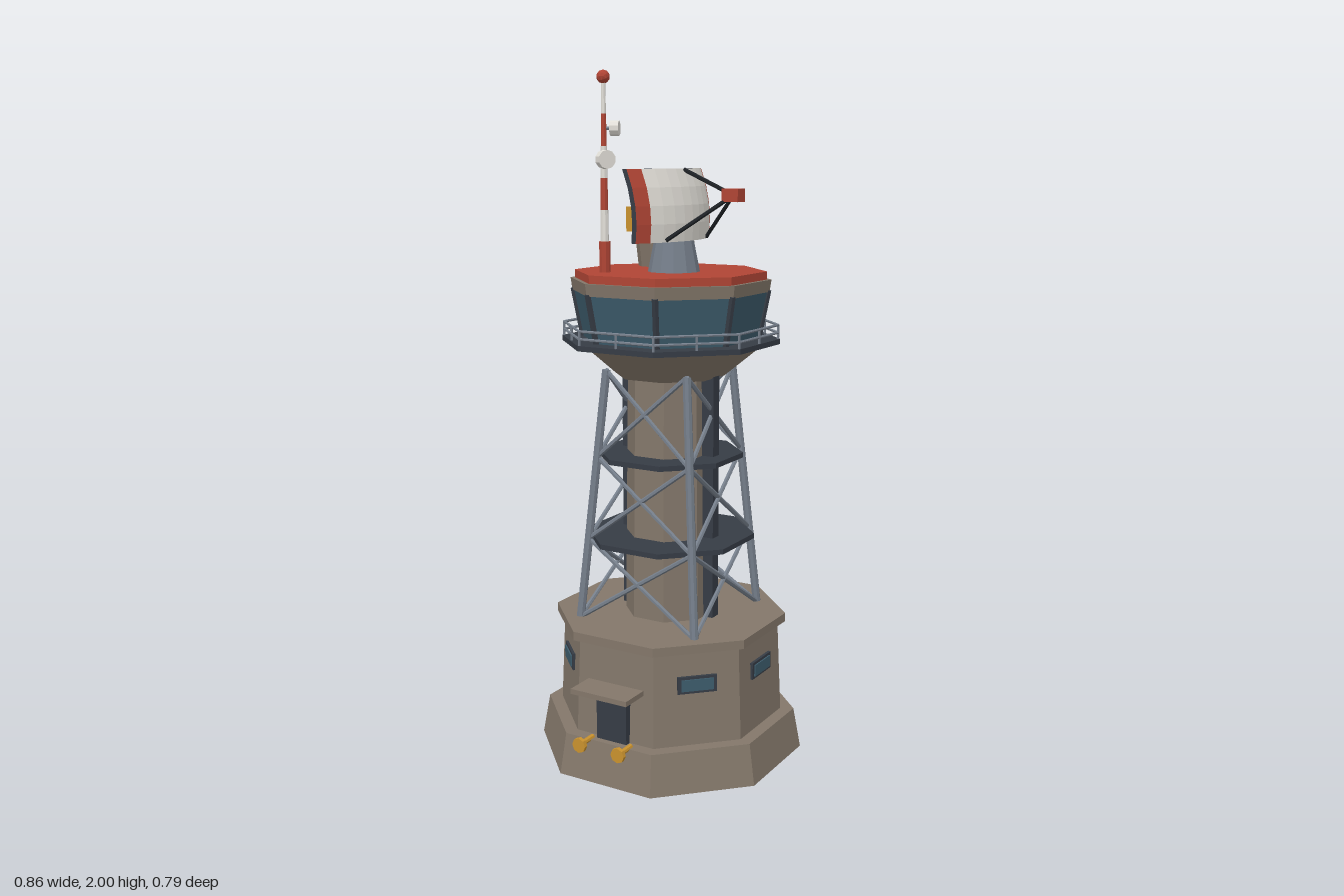
import * as THREE from 'three';

const mat = (name, color, side = THREE.FrontSide) => {
  const m = new THREE.MeshStandardMaterial({ color, side });
  m.name = name;
  return m;
};

export function createModel() {
  const concrete = mat('concrete', 0x83776a), red = mat('signal red', 0xb04535);
  const glass = mat('window glass', 0x3d5c6c), steel = mat('steel', 0x757e8a);
  const dark = mat('dark metal', 0x363c45), black = mat('strut black', 0x1e2226);
  const white = mat('white', 0xe2dfd8), yellow = mat('yellow', 0xc9922e);

  const root = new THREE.Group();
  root.name = 'radarTower';
  const tower = new THREE.Group();
  tower.name = 'tower';
  tower.rotation.y = Math.PI / 12;
  tower.position.x = -0.02;
  root.add(tower);

  // Flat-shaded mesh helpers
  const add = (name, geo, m, x = 0, y = 0, z = 0, parent = tower) => {
    const g = geo.index ? geo.toNonIndexed() : geo;
    g.computeVertexNormals();
    const mesh = new THREE.Mesh(g, m);
    mesh.name = name;
    mesh.position.set(x, y, z);
    parent.add(mesh);
    return mesh;
  };
  const box = (name, m, w, h, d, x, y, z, parent) =>
    add(name, new THREE.BoxGeometry(w, h, d), m, x, y, z, parent);
  // Octagonal frustum between two heights, flats facing the axes
  const tier = (name, m, r0, r1, y0, y1) =>
    add(name, new THREE.CylinderGeometry(r1, r0, y1 - y0, 8).rotateY(Math.PI / 8), m, 0, (y0 + y1) / 2, 0);
  const drum = (name, m, r0, r1, y0, y1, x, z, n = 12) =>
    add(name, new THREE.CylinderGeometry(r1, r0, y1 - y0, n), m, x, (y0 + y1) / 2, z);
  // Round bar between two points
  const bar = (name, m, a, b, r, n = 6) => {
    const d = b.clone().sub(a), mid = a.clone().add(b).multiplyScalar(0.5);
    const mesh = add(name, new THREE.CylinderGeometry(r, r, d.length(), n), m, mid.x, mid.y, mid.z);
    mesh.quaternion.setFromUnitVectors(new THREE.Vector3(0, 1, 0), d.normalize());
    return mesh;
  };
  const polar = (angle, r, y) => new THREE.Vector3(Math.sin(angle) * r, y, Math.cos(angle) * r);

  // Base building
  tier('foundation', concrete, 0.4, 0.378, 0, 0.12);
  tier('baseBuilding', concrete, 0.338, 0.325, 0.12, 0.4);
  tier('baseRoofSlab', concrete, 0.348, 0.348, 0.397, 0.423);
  for (let i = 0; i < 8; i++) {
    if (i % 4 === 2) continue;
    const win = new THREE.Group();
    win.name = 'baseWindow';
    win.rotation.y = i * Math.PI / 4;
    tower.add(win);
    box('windowFrame', dark, 0.115, 0.05, 0.02, 0, 0.3, 0.302, win);
    box('windowPane', glass, 0.095, 0.034, 0.006, 0, 0.3, 0.313, win);
  }

  // Annex with cooling units
  box('annex', concrete, 0.14, 0.195, 0.26, 0.345, 0.1975, 0);
  box('annexRoof', concrete, 0.145, 0.014, 0.284, 0.353, 0.3, 0);
  for (const s of [-1, 1]) box('coolingUnit', steel, 0.05, 0.05, 0.095, 0.31, 0.325, s * 0.055);

  // Entrance with canopy and yellow bollard fittings
  box('door', dark, 0.04, 0.15, 0.1, -0.31, 0.195, 0);
  box('canopy', concrete, 0.1, 0.015, 0.186, -0.347, 0.277, 0);
  for (const s of [-1, 1]) {
    const z = s * 0.065;
    bar('fittingPipe', yellow, new THREE.Vector3(-0.33, 0.12, z), new THREE.Vector3(-0.4, 0.12, z), 0.008, 8);
    bar('fittingWheel', yellow, new THREE.Vector3(-0.39, 0.12, z), new THREE.Vector3(-0.402, 0.12, z), 0.022, 8);
  }

  // Central shaft and service ducts
  tier('shaft', concrete, 0.135, 0.125, 0.42, 1.16);
  for (const s of [-1, 1]) box('serviceDuct', dark, 0.034, 0.73, 0.05, 0, 0.785, s * 0.13);

  // Lattice: four legs, crossed braces and two platforms
  const levels = [0.42, 0.66, 0.905, 1.16];
  const legR = y => 0.275 - 0.085 * (y - 0.42) / 0.74;
  for (let i = 0; i < 4; i++) {
    const a = Math.PI / 4 + i * Math.PI / 2, b = a + Math.PI / 2;
    bar('latticeLeg', steel, polar(a, legR(0.42), 0.42), polar(a, legR(1.16), 1.16), 0.0125, 8);
    for (let k = 0; k < 3; k++) {
      const [y0, y1] = [levels[k], levels[k + 1]];
      bar('crossBrace', steel, polar(a, legR(y0), y0), polar(b, legR(y1), y1), 0.007);
      bar('crossBrace', steel, polar(b, legR(y0), y0), polar(a, legR(y1), y1), 0.007);
    }
  }
  tier('lowerPlatform', dark, 0.252, 0.252, 0.652, 0.667);
  tier('upperPlatform', dark, 0.217, 0.217, 0.897, 0.912);

  // Control cabin
  tier('cabinFunnel', concrete, 0.16, 0.278, 1.14, 1.237);
  tier('walkway', dark, 0.32, 0.32, 1.235, 1.25);
  tier('cabinGlass', glass, 0.258, 0.286, 1.25, 1.395);
  tier('cabinTrim', concrete, 0.288, 0.293, 1.385, 1.42);
  tier('cabinRoof', red, 0.28, 0.28, 1.42, 1.443);
  for (let i = 0; i < 8; i++) {
    const a = Math.PI / 8 + i * Math.PI / 4, b = a + Math.PI / 4;
    bar('mullion', dark, polar(a, 0.257, 1.25), polar(a, 0.284, 1.39), 0.01);
    for (const y of [1.268, 1.29]) bar('handrail', steel, polar(a, 0.314, y), polar(b, 0.314, y), 0.004);
    const p = polar(a, 0.314, 1.25), q = polar(b, 0.314, 1.25);
    for (const t of [0, 0.5]) {
      const foot = p.clone().lerp(q, t);
      bar('railPost', steel, foot, foot.clone().setY(1.29), 0.004);
    }
  }

  // Radar pedestal and drive
  const cx = -0.02;
  drum('radarPedestal', steel, 0.075, 0.055, 1.44, 1.54, cx, 0.025);
  box('driveHousing', dark, 0.11, 0.09, 0.1, cx, 1.585, 0.01);
  box('counterweight', yellow, 0.115, 0.07, 0.062, cx, 1.59, -0.068);
  for (const s of [-1, 1]) {
    bar('reflectorArm', steel, new THREE.Vector3(cx + s * 0.066, 1.6, -0.025),
      new THREE.Vector3(cx + s * 0.075, 1.63, 0.05), 0.011);
  }

  // Curved reflector: u across, v up, both from -1 to 1
  const dish = (u, v, off = 0) => new THREE.Vector3(
    cx + 0.205 * u, 1.632 + 0.1 * v, 0.085 - 0.06 * u * u - 0.014 * v * v - 0.014 * v - off);
  const panel = (name, m, u0, u1, nu) => {
    // closed slab: front, back and four rims
    const pos = [], nv = 4, t = 0.014;
    const quad = (a, b, c, d) => [a, b, c, a, c, d].forEach(p => pos.push(p.x, p.y, p.z));
    for (let i = 0; i < nu; i++) {
      const a = u0 + (u1 - u0) * i / nu, b = u0 + (u1 - u0) * (i + 1) / nu;
      for (let j = 0; j < nv; j++) {
        const c = -1 + 2 * j / nv, d = c + 2 / nv;
        if (m !== dark) quad(dish(a, c), dish(b, c), dish(b, d), dish(a, d));
        else quad(dish(b, c, t), dish(a, c, t), dish(a, d, t), dish(b, d, t));
        if (m === dark && i === 0) quad(dish(a, c, t), dish(a, c), dish(a, d), dish(a, d, t));
        if (m === dark && i === nu - 1) quad(dish(b, c), dish(b, c, t), dish(b, d, t), dish(b, d));
      }
      if (m === dark) {
        quad(dish(a, 1), dish(b, 1), dish(b, 1, t), dish(a, 1, t));
        quad(dish(a, -1, t), dish(b, -1, t), dish(b, -1), dish(a, -1));
      }
    }
    const g = new THREE.BufferGeometry();
    g.setAttribute('position', new THREE.Float32BufferAttribute(pos, 3));
    add(name, g, m);
  };
  panel('reflectorFace', white, -0.8, 0.8, 8);
  panel('reflectorLeftEnd', red, 0.8, 1, 1);
  panel('reflectorRightEnd', red, -1, -0.8, 1);
  panel('reflectorBack', dark, -1, 1, 10);
  for (const u of [-0.6, 0, 0.6]) {
    for (const [c, d] of [[-0.95, 0], [0, 0.95]]) bar('reflectorRib', dark, dish(u, c, 0.018), dish(u, d, 0.018), 0.008);
  }

  // Feed horn on three struts
  const feed = new THREE.Vector3(cx, 1.66, 0.215);
  box('feedHorn', red, 0.042, 0.036, 0.05, feed.x, feed.y, feed.z);
  for (const [u, v] of [[0, 0.97], [-0.56, -0.95], [0.56, -0.95]]) bar('feedStrut', black, feed, dish(u, v), 0.006);

  // Radome on its drum
  drum('radomeBase', concrete, 0.08, 0.088, 1.44, 1.515, 0.149, -0.105);
  add('radome', new THREE.IcosahedronGeometry(0.103, 2), white, 0.149, 1.593, -0.105);

  // Banded antenna mast
  const mx = -0.147, mz = -0.127;
  drum('mastFoot', red, 0.016, 0.016, 1.44, 1.53, mx, mz, 8);
  for (let i = 0; i < 5; i++) {
    const y = 1.53 + i * 0.088, r = 0.012 - i * 0.0012;
    drum('mastBand', i % 2 ? red : white, r, r - 0.001, y, y + 0.088, mx, mz, 8);
  }
  add('mastBeacon', new THREE.IcosahedronGeometry(0.019, 1), red, mx, 1.981, mz);
  for (const [x, y, z, r, a] of [[-0.174, 1.757, -0.104, 0.026, -0.56], [-0.128, 1.842, -0.102, 0.021, 0.38]]) {
    const d = add('mastDrumAntenna', new THREE.CylinderGeometry(r, r, 0.025, 10).rotateX(Math.PI / 2), white, x, y, z);
    d.rotation.y = a;
    bar('antennaBracket', steel, new THREE.Vector3(mx, y, mz), new THREE.Vector3(x, y, z), 0.005);
  }
  return root;
}
